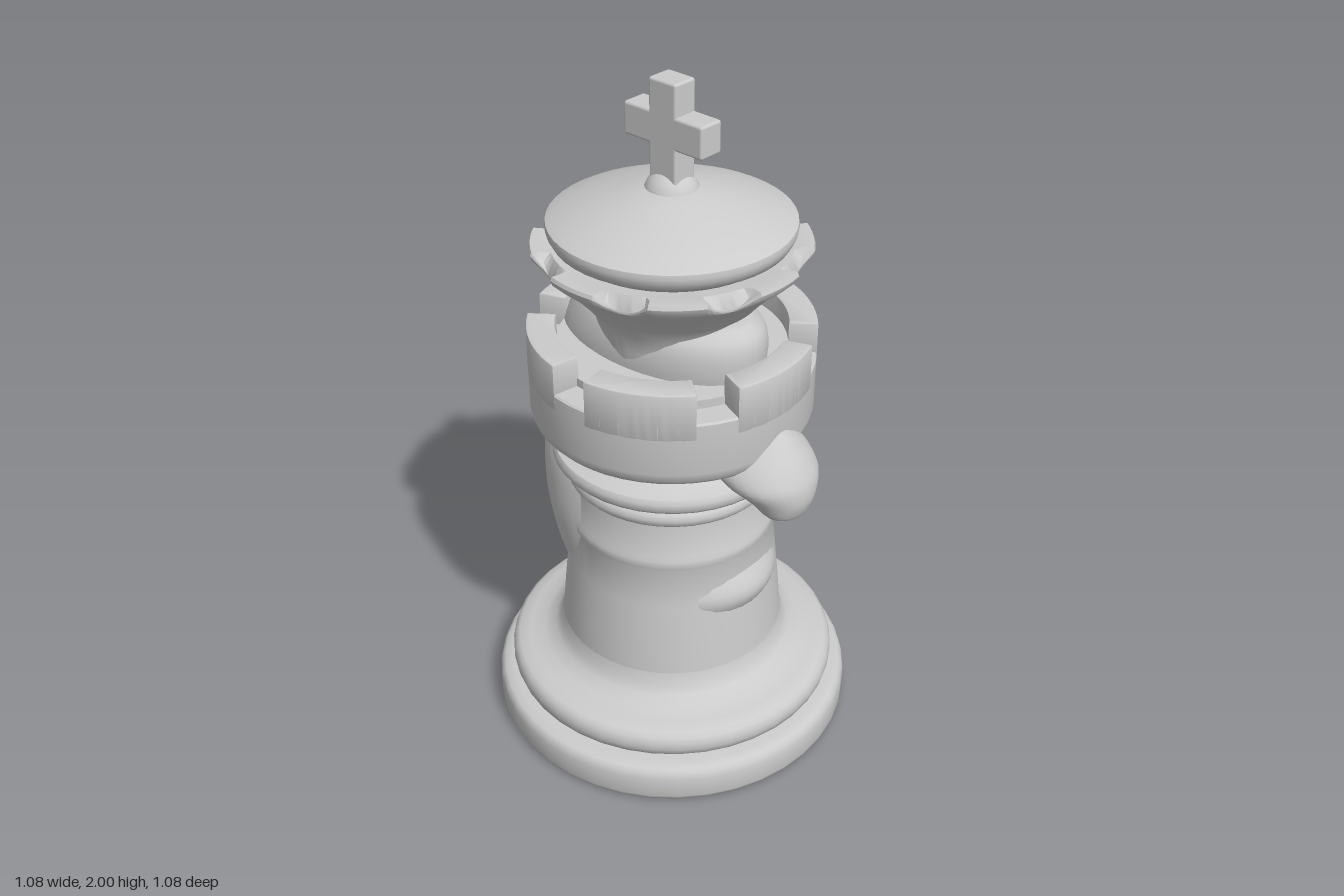
import * as THREE from 'three';
import { toCreasedNormals } from 'three/addons/utils/BufferGeometryUtils.js';
import { RoundedBoxGeometry } from 'three/addons/geometries/RoundedBoxGeometry.js';

const material = new THREE.MeshStandardMaterial({ color: 0xcccccc, side: THREE.DoubleSide });

function add(parent, name, geometry, y = 0) {
  const mesh = new THREE.Mesh(geometry, material);
  mesh.name = name;
  mesh.position.y = y;
  parent.add(mesh);
  return mesh;
}

// Turned part from [radius, height] points
function turned(points, segments = 40) {
  const g = new THREE.LatheGeometry(points.map(([r, y]) => new THREE.Vector2(r, y)), segments);
  return toCreasedNormals(g, 0.75);
}

// Stack of ellipses given as [y, xMin, xMax, zHalf], smoothed along its height
function loft(sections, rows = 36, sides = 40) {
  const mid = new THREE.CatmullRomCurve3(sections.map(([y, a, b]) => new THREE.Vector3((a + b) / 2, y, 0)));
  const size = new THREE.CatmullRomCurve3(sections.map(([y, a, b, z]) => new THREE.Vector3((b - a) / 2, y, z)));
  const positions = [], index = [];
  for (let i = 0; i <= rows + 2; i++) {
    const t = THREE.MathUtils.clamp((i - 1) / rows, 0, 1);
    const scale = i === 0 || i === rows + 2 ? 0 : 1; // closed ends
    const c = mid.getPoint(t), s = size.getPoint(t);
    for (let j = 0; j < sides; j++) {
      const a = (j / sides) * Math.PI * 2;
      positions.push(c.x + scale * s.x * Math.cos(a), c.y, scale * s.z * Math.sin(a));
      if (i < rows + 2) {
        const k = (j + 1) % sides, p = i * sides, q = p + sides;
        index.push(p + j, q + j, p + k, q + j, q + k, p + k);
      }
    }
  }
  const g = new THREE.BufferGeometry();
  g.setAttribute('position', new THREE.Float32BufferAttribute(positions, 3));
  g.setIndex(index);
  g.computeVertexNormals();
  return g;
}

// Flared crown whose rim is scooped out eight times
function crownGeometry() {
  const profile = [[0.19, 1.2], [0.2, 1.3], [0.215, 1.36], [0.25, 1.405], [0.285, 1.445], [0.325, 1.485],
    [0.355, 1.51], [0.375, 1.53], [0.38, 1.545], [0.376, 1.555], [0.35, 1.555], [0.325, 1.55], [0.28, 1.545]];
  const g = new THREE.LatheGeometry(profile.map(([r, y]) => new THREE.Vector2(r, y)), 160);
  const p = g.attributes.position;
  for (let i = 0; i < p.count; i++) {
    const x = p.getX(i), y = p.getY(i), z = p.getZ(i), r = Math.hypot(x, z);
    if (y < 1.505 || r < 0.34) continue;
    const step = Math.PI / 4;
    const a = Math.atan2(z, x) + Math.PI * 2;
    const off = ((a % step) - step / 2) * r; // arc distance from the scoop centre
    const s = Math.sqrt(Math.max(0, 1 - (off / 0.065) ** 2));
    const newR = r - s * Math.max(0, r - 0.345);
    p.setXYZ(i, x * newR / r, y - s * (y - 1.503) * 0.85, z * newR / r);
  }
  return toCreasedNormals(g, 0.6);
}

// One wall block between two gaps of the battlement
function merlonGeometry() {
  const gap = 0.155, outer = 0.395, inner = 0.325, bevel = 0.005;
  const s = new THREE.Shape();
  s.absarc(0, 0, outer, gap, Math.PI / 3 - gap, false);
  s.absarc(0, 0, inner, Math.PI / 3 - gap, gap, true);
  s.closePath();
  const g = new THREE.ExtrudeGeometry(s, { depth: 0.13, curveSegments: 10, bevelSize: bevel,
    bevelThickness: bevel, bevelSegments: 2 });
  g.rotateX(-Math.PI / 2);
  return toCreasedNormals(g, 0.6);
}

export function createModel() {
  const model = new THREE.Group();
  model.name = 'chessPiece';

  // Foot with two rounded discs
  add(model, 'base', turned([[0, 0], [0.525, 0], [0.535, 0.006], [0.54, 0.02], [0.54, 0.085], [0.535, 0.104],
    [0.525, 0.115], [0.5, 0.12], [0.46, 0.122]]));
  add(model, 'baseRing', turned([[0.45, 0.12], [0.475, 0.127], [0.489, 0.14], [0.495, 0.16], [0.495, 0.18],
    [0.488, 0.199], [0.475, 0.21], [0.44, 0.216], [0.395, 0.226], [0.36, 0.246], [0.342, 0.272], [0.333, 0.31]]));

  // Tapering tower with collars
  add(model, 'tower', turned([[0.334, 0.3], [0.325, 0.4], [0.311, 0.54], [0.298, 0.66], [0.302, 0.67],
    [0.302, 0.695], [0.295, 0.708], [0.285, 0.82], [0.28, 1.0]]));
  add(model, 'lowerCollar', turned([[0.27, 0.815], [0.295, 0.817], [0.304, 0.828], [0.306, 0.842],
    [0.302, 0.856], [0.292, 0.865], [0.27, 0.87]]));
  add(model, 'upperCollar', turned([[0.26, 0.875], [0.3, 0.885], [0.335, 0.892], [0.344, 0.904], [0.345, 0.925],
    [0.338, 0.937], [0.315, 0.943], [0.285, 0.96]]));

  // Battlemented drum
  add(model, 'drum', turned([[0.26, 0.95], [0.285, 0.965], [0.315, 0.985], [0.35, 1.005], [0.38, 1.024], [0.394, 1.04],
    [0.4, 1.065], [0.4, 1.215], [0.395, 1.22], [0.325, 1.22], [0.325, 1.245], [0.15, 1.245]], 48));
  const battlement = new THREE.Group();
  battlement.name = 'battlement';
  model.add(battlement);
  for (let i = 0; i < 6; i++) {
    const merlon = add(battlement, 'merlon', merlonGeometry(), 1.175);
    merlon.rotation.y = Math.PI / 6 + i * Math.PI / 3;
  }

  // Horse neck, chest and head showing through the tower
  add(model, 'horseBody', loft([[0.455, -0.29, 0.27, 0.22], [0.475, -0.34, 0.31, 0.265], [0.54, -0.385, 0.335, 0.28],
    [0.62, -0.412, 0.295, 0.282], [0.72, -0.43, 0.24, 0.275], [0.85, -0.44, 0.2, 0.25], [0.95, -0.438, 0.2, 0.2],
    [1.1, -0.42, 0.25, 0.18], [1.25, -0.37, 0.3, 0.2], [1.35, -0.295, 0.3, 0.18], [1.4, -0.235, 0.26, 0.11]]));
  add(model, 'horseMuzzle', loft([[0.863, 0.41, 0.455, 0.035], [0.88, 0.37, 0.478, 0.07], [0.925, 0.31, 0.495, 0.1],
    [0.98, 0.22, 0.492, 0.142], [1.03, 0.14, 0.468, 0.142], [1.09, 0.12, 0.425, 0.1], [1.135, 0.12, 0.385, 0.04]], 24, 32));

  // Scalloped crown with a shallow domed lid
  add(model, 'crown', crownGeometry());
  add(model, 'lid', turned([[0.27, 1.535], [0.3, 1.557], [0.322, 1.57], [0.333, 1.59], [0.336, 1.605], [0.334, 1.618],
    [0.32, 1.626], [0.26, 1.65], [0.19, 1.675], [0.12, 1.694], [0.06, 1.71], [0, 1.71]], 48));
  add(model, 'finial', new THREE.SphereGeometry(0.077, 28, 18), 1.68);

  // Cross on top
  add(model, 'crossPost', new RoundedBoxGeometry(0.094, 0.28, 0.076, 2, 0.008), 1.86);
  add(model, 'crossArm', new RoundedBoxGeometry(0.27, 0.09, 0.076, 2, 0.008), 1.868);
  return model;
}
